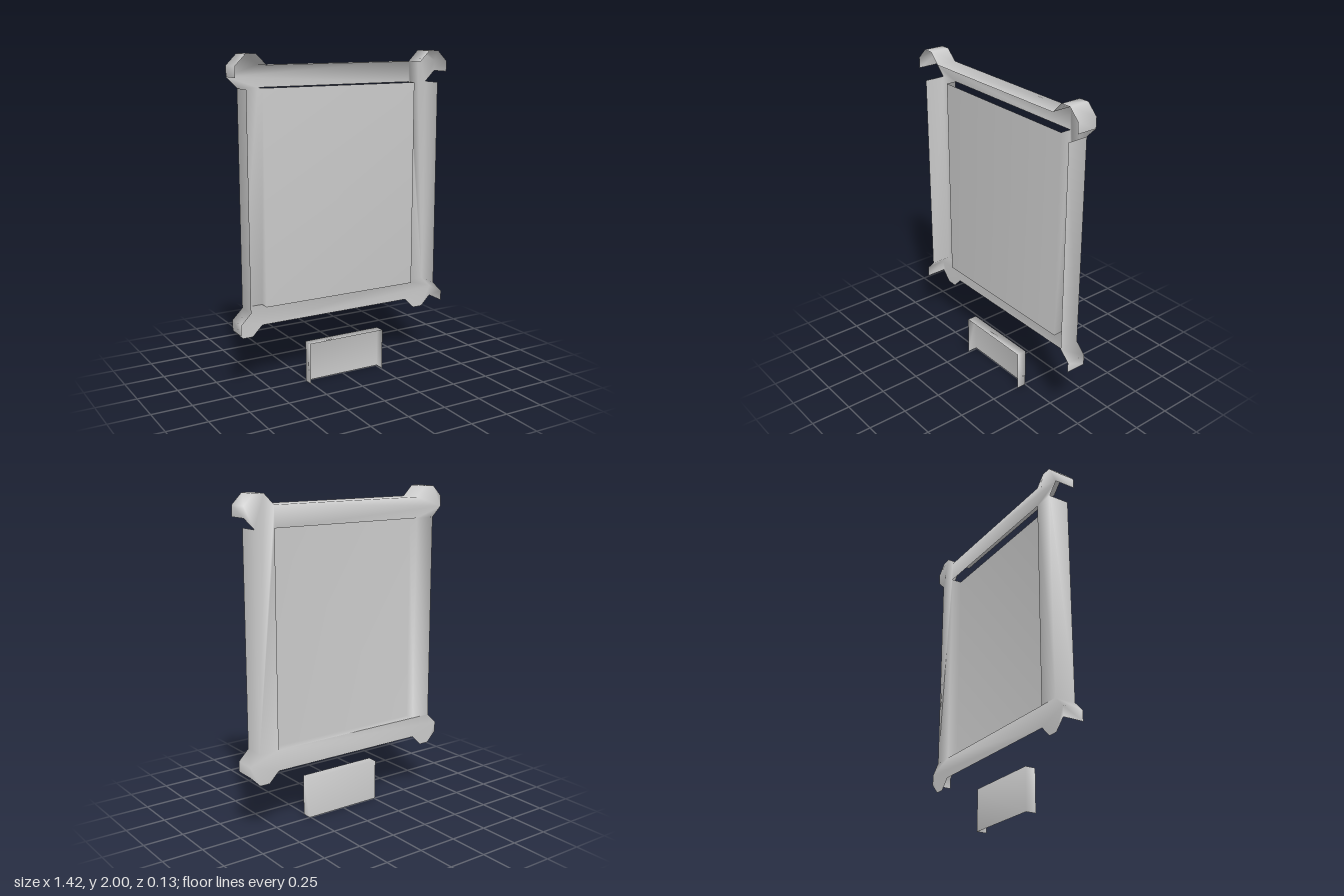
import * as THREE from 'three';
import { mergeGeometries, mergeVertices } from 'three/addons/utils/BufferGeometryUtils.js';

const U = 2 / 31; // modelling grid unit

const material = new THREE.MeshStandardMaterial({ color: 0xcccccc, side: THREE.DoubleSide });

// Flat sheet at depth z, facing the back, with an optional hole
function sheet(points, z, hole) {
  const shape = new THREE.Shape(points);
  if (hole) shape.holes.push(new THREE.Path(hole));
  const g = new THREE.ShapeGeometry(shape);
  g.setIndex([...g.index.array].reverse());
  g.translate(0, 0, z);
  g.deleteAttribute('normal');
  g.deleteAttribute('uv');
  return g;
}

// Walls along a closed outline from z0 to z1; sides that face down stay open
function walls(points, z0, z1) {
  const position = [], index = [];
  points.forEach((a, i) => {
    const b = points[(i + 1) % points.length];
    if (b.x - a.x > 1e-6) return;
    const n = position.length / 3;
    position.push(a.x, a.y, z0, b.x, b.y, z0, b.x, b.y, z1, a.x, a.y, z1);
    index.push(n, n + 1, n + 2, n, n + 2, n + 3);
  });
  const g = new THREE.BufferGeometry();
  g.setAttribute('position', new THREE.Float32BufferAttribute(position, 3));
  g.setIndex(index);
  return g;
}

// Weld the pieces so the shading runs smoothly over the edges
function shell(name, pieces) {
  const g = mergeVertices(mergeGeometries(pieces), 1e-4);
  g.computeVertexNormals();
  g.scale(U, U, U);
  const mesh = new THREE.Mesh(g, material);
  mesh.name = name;
  return mesh;
}

const toPoints = (list) => list.map(([x, y]) => new THREE.Vector2(x, y));
const rectangle = (x, y0, y1) => toPoints([[-x, y0], [x, y0], [x, y1], [-x, y1]]);

export function createModel() {
  const group = new THREE.Group();
  group.name = 'framedPanel';

  // Frame outline: right half from bottom to top, then mirrored
  const half = [
    [8, 6], [9, 5], [10, 5], [11, 6], [11, 7], [10, 8],
    [10, 28], [11, 29], [11, 30], [10, 31], [9, 31], [8, 30],
  ];
  const outline = toPoints([...half, ...half.map(([x, y]) => [-x, y]).reverse()]);
  const opening = rectangle(8, 8, 28);
  const inward = [...opening].reverse();

  // Frame with knobbed corners and the recessed panel
  group.add(shell('frameAndPanel', [
    sheet(outline, -1, inward),
    walls(outline, -1, 1),
    walls(inward, -1, 0),
    sheet(opening, 0),
  ]));

  // Small plate hanging below the frame
  const plate = rectangle(4, 0, 4);
  group.add(shell('namePlate', [sheet(plate, 0), walls(plate, 0, 1)]));

  return group;
}
